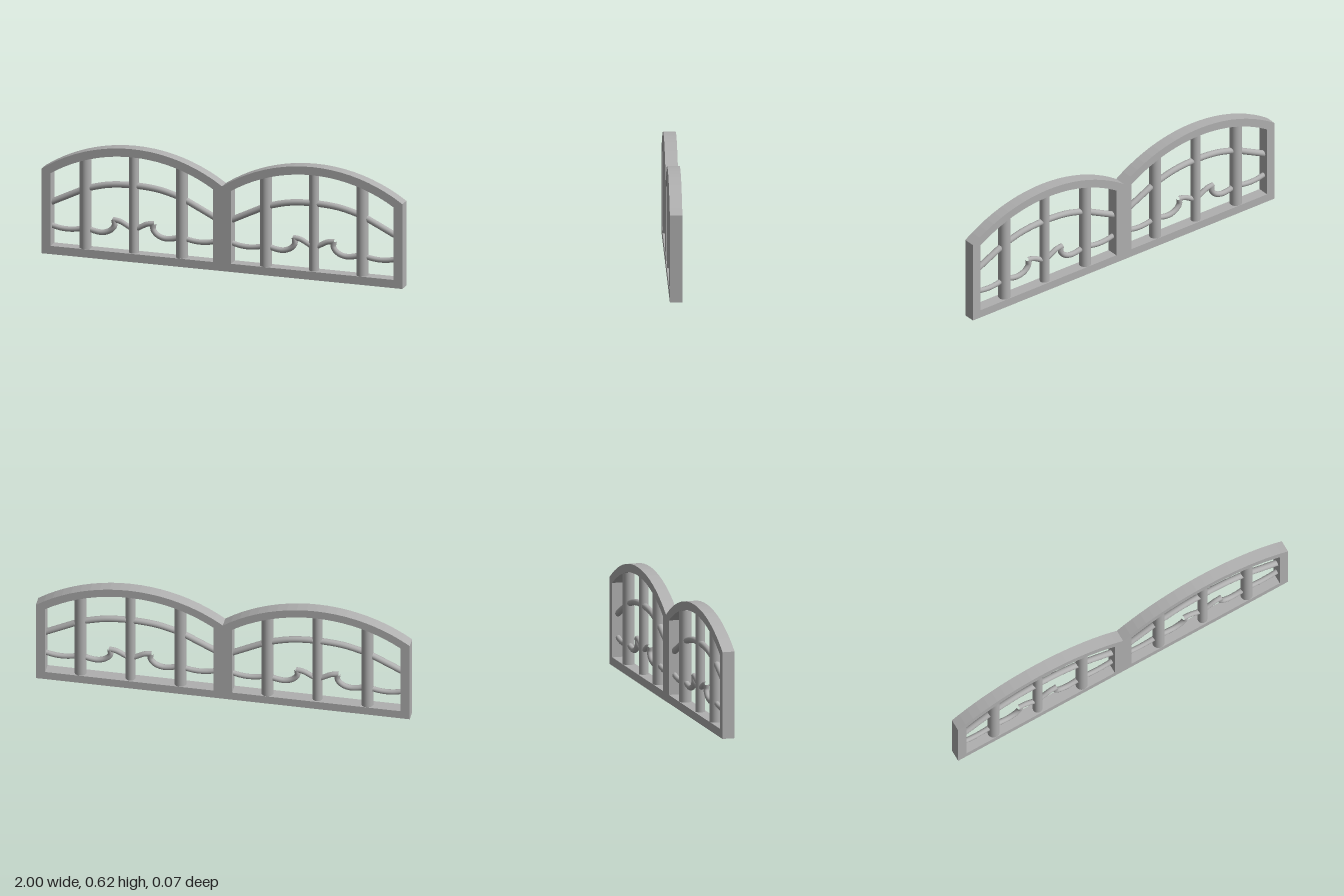
import * as THREE from 'three';

const DEPTH = 0.066;
const ARC_Y = -0.264; // height of the arch centre
const R_OUT = 0.884;
const R_IN = 0.839;
const POST_X = 0.267;

const iron = new THREE.MeshStandardMaterial({ color: 0xb0b0b0 });
iron.name = 'grey iron';

// points along an arch, from right to left
function arch(cx, radius, half, steps = 20) {
  const a = Math.asin(half / radius);
  return Array.from({ length: steps + 1 }, (_, i) => {
    const t = a - (2 * a * i) / steps;
    return new THREE.Vector2(cx + radius * Math.sin(t), ARC_Y + radius * Math.cos(t));
  });
}

function add(parent, name, geometry) {
  const mesh = new THREE.Mesh(geometry, iron);
  mesh.name = name;
  parent.add(mesh);
  return mesh;
}

// round bar through [x, y] points
function bar(parent, name, points, radius) {
  const curve = new THREE.CatmullRomCurve3(points.map(([x, y]) => new THREE.Vector3(x, y, 0)), false, 'centripetal');
  return add(parent, name, new THREE.TubeGeometry(curve, points.length > 2 ? 32 : 1, radius, 14));
}

function post(parent, name, x, radius, top) {
  const bottom = 0.04;
  add(parent, name, new THREE.CylinderGeometry(radius, radius, top - bottom, 24))
    .position.set(x, (top + bottom) / 2, 0);
}

function createFrame(parent) {
  const shape = new THREE.Shape([
    new THREE.Vector2(-1, 0), new THREE.Vector2(1, 0),
    ...arch(0.5, R_OUT, 0.5), ...arch(-0.5, R_OUT, 0.5).slice(1),
  ]);
  for (const cx of [-0.5, 0.5]) {
    shape.holes.push(new THREE.Path([
      new THREE.Vector2(cx - 0.45, 0.045), new THREE.Vector2(cx + 0.45, 0.045),
      ...arch(cx, R_IN, 0.45),
    ]));
  }
  const geometry = new THREE.ExtrudeGeometry(shape, { depth: DEPTH, bevelEnabled: false });
  geometry.translate(0, 0, -DEPTH / 2);
  add(parent, 'frame', geometry);
}

function createPanel(cx) {
  const panel = new THREE.Group();
  panel.name = cx < 0 ? 'rightPanel' : 'leftPanel';
  panel.position.x = cx;

  post(panel, 'centrePost', 0, 0.026, 0.58);
  bar(panel, 'archedRail', [[-POST_X, 0.37], [-0.14, 0.402], [0, 0.412], [0.14, 0.402], [POST_X, 0.37]], 0.017);

  for (const s of [-1, 1]) {
    const mirror = (pts) => pts.map(([x, y]) => [s * x, y]);
    post(panel, 'sidePost', s * POST_X, 0.032, 0.54);
    bar(panel, 'slopingRail', mirror([[POST_X, 0.37], [0.455, 0.278]]), 0.017);
    bar(panel, 'lowerRail', mirror([[POST_X, 0.155], [0.31, 0.143], [0.36, 0.137], [0.41, 0.14], [0.455, 0.15]]), 0.014);
    // scroll: a hook that meets a curved arm at a pointed tip
    bar(panel, 'scrollHook', mirror([[POST_X, 0.157], [0.215, 0.141], [0.17, 0.138], [0.13, 0.153], [0.107, 0.182], [0.11, 0.214]]), 0.015);
    bar(panel, 'scrollArm', mirror([[0.116, 0.214], [0.075, 0.207], [0.035, 0.187], [0, 0.168]]), 0.014);
  }
  return panel;
}

export function createModel() {
  const model = new THREE.Group();
  model.name = 'archedFence';
  createFrame(model);
  model.add(createPanel(-0.5), createPanel(0.5));
  return model;
}
